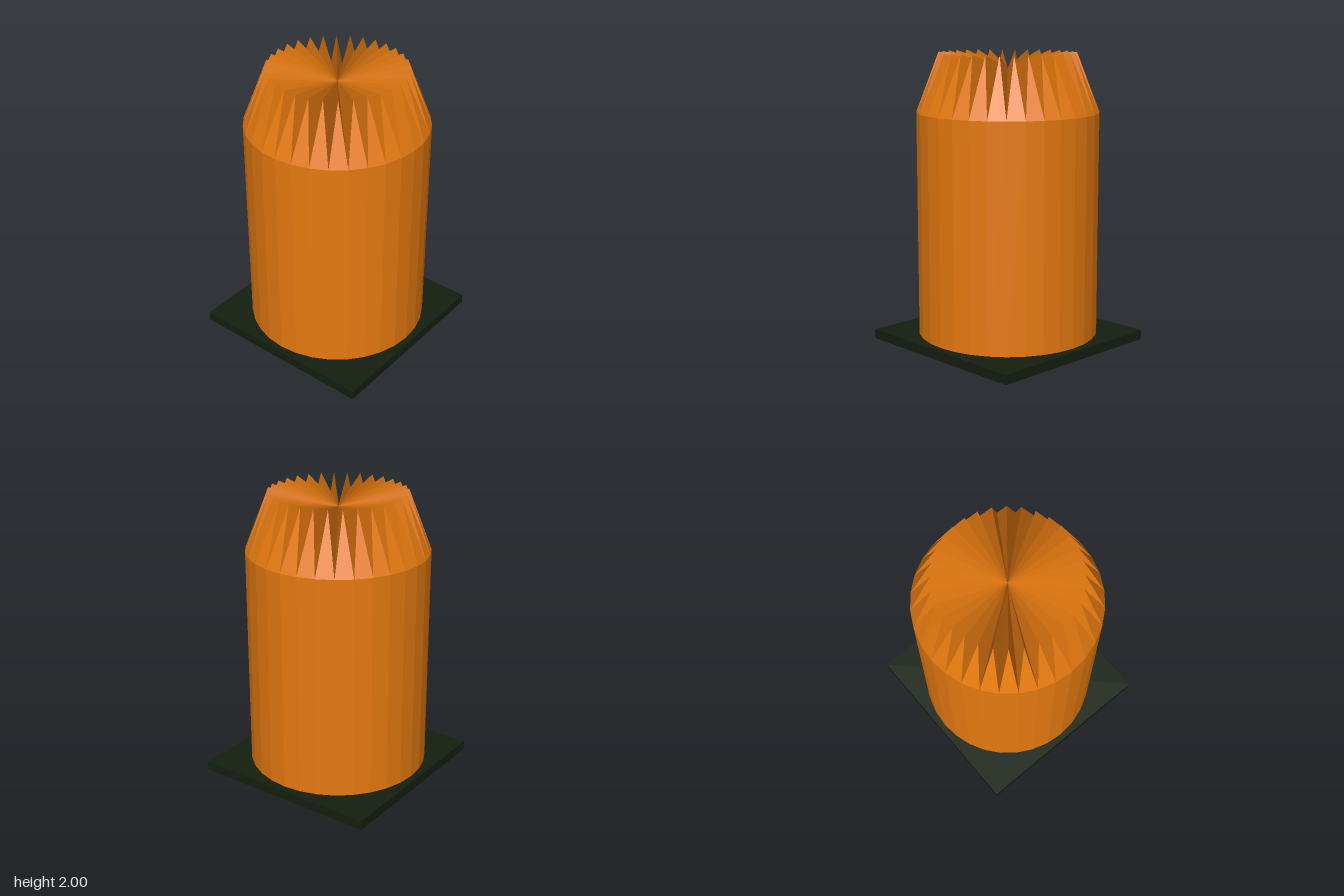
import * as THREE from 'three';

const SIDES = 32, RADIUS = 0.62, SHOULDER = 1.6, BODY_BOTTOM = 0.073;
const PLATE_SIZE = 1.32, PLATE_HEIGHT = 0.066;
const PEAK_RADIUS = 0.465, PEAK_Y = 2, CENTRE_Y = 1.89;

function addPart(group, name, geometry, color, y = 0) {
  const material = new THREE.MeshStandardMaterial({ color });
  material.flatShading = true;
  const mesh = new THREE.Mesh(geometry, material);
  mesh.name = name;
  mesh.position.y = y;
  group.add(mesh);
}

// Pleated crown: each side has a leaning outer triangle and two folds to the centre
function crownGeometry() {
  const ring = (step, r, y) => {
    const a = (step / SIDES) * Math.PI * 2;
    return [Math.sin(a) * r, y, Math.cos(a) * r];
  };
  const centre = [0, CENTRE_Y, 0];
  const positions = [];
  for (let i = 0; i < SIDES; i++) {
    const a = ring(i, RADIUS, SHOULDER);
    const b = ring(i + 1, RADIUS, SHOULDER);
    const peak = ring(i + 0.5, PEAK_RADIUS, PEAK_Y);
    positions.push(...a, ...b, ...peak);
    positions.push(...centre, ...a, ...peak);
    positions.push(...centre, ...peak, ...b);
  }
  const geometry = new THREE.BufferGeometry();
  geometry.setAttribute('position', new THREE.Float32BufferAttribute(positions, 3));
  geometry.computeVertexNormals();
  return geometry;
}

export function createModel() {
  const model = new THREE.Group();
  model.name = 'crownedColumn';
  const orange = 0xe67a10, dark = 0x141f10;

  // Square base plate
  addPart(model, 'basePlate', new THREE.BoxGeometry(PLATE_SIZE, PLATE_HEIGHT, PLATE_SIZE), dark, PLATE_HEIGHT / 2);

  // Small pivot that lifts the body just clear of the plate
  addPart(model, 'pivot', new THREE.CylinderGeometry(0.06, 0.06, 0.02, SIDES), dark, 0.065);

  // Faceted body, open where the crown closes it
  const height = SHOULDER - BODY_BOTTOM;
  addPart(model, 'body', new THREE.CylinderGeometry(RADIUS, RADIUS, height, SIDES, 1, true), orange, BODY_BOTTOM + height / 2);
  addPart(model, 'bodyUnderside', new THREE.CircleGeometry(RADIUS, SIDES).rotateX(Math.PI / 2), orange, BODY_BOTTOM);

  addPart(model, 'pleatedCrown', crownGeometry(), orange);
  return model;
}
